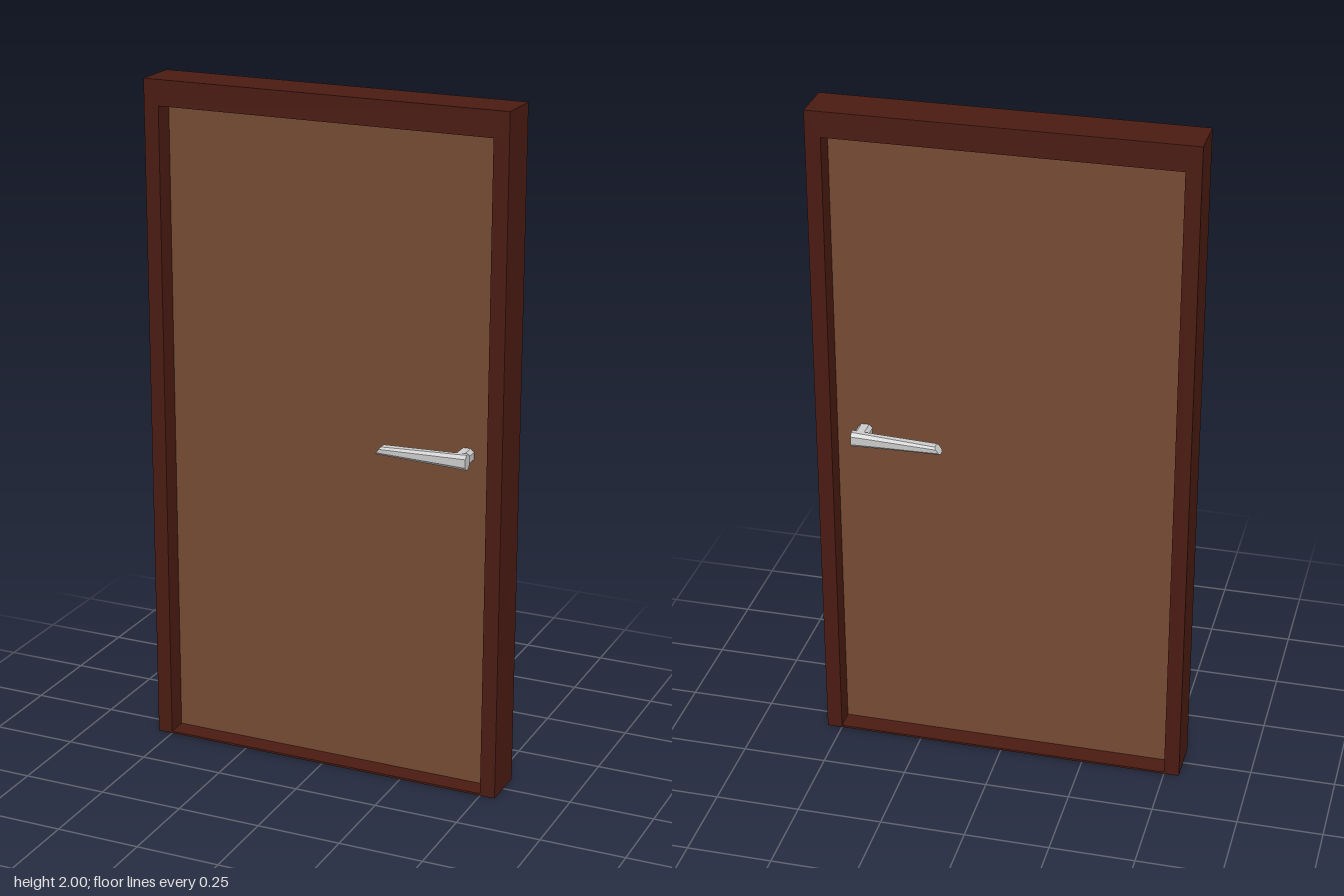
import * as THREE from 'three';

const frameMat = new THREE.MeshStandardMaterial({ color: 0x4a1b12 });
const panelMat = new THREE.MeshStandardMaterial({ color: 0x754b33 });
const metalMat = new THREE.MeshStandardMaterial({ color: 0xcccccc, flatShading: true });

// Bevelled rectangle as eight [u, v] points, running counter-clockwise
function bevelRect(u0, u1, v0, v1, b) {
  return [[u0 + b, v0], [u1 - b, v0], [u1, v0 + b], [u1, v1 - b],
    [u1 - b, v1], [u0 + b, v1], [u0, v1 - b], [u0, v0 + b]];
}

// Solid skin through equal-length rings, capped at both ends
function loft(rings, flip) {
  const n = rings[0].length, index = [];
  const tri = (a, b, c) => (flip ? index.push(a, c, b) : index.push(a, b, c));
  for (let r = 0; r < rings.length - 1; r++) {
    for (let i = 0; i < n; i++) {
      const a = r * n + i, b = r * n + (i + 1) % n;
      tri(a, b, b + n);
      tri(a, b + n, a + n);
    }
  }
  const last = (rings.length - 1) * n;
  for (let i = 1; i < n - 1; i++) {
    tri(0, i + 1, i);
    tri(last, last + i, last + i + 1);
  }
  const geo = new THREE.BufferGeometry();
  geo.setAttribute('position', new THREE.Float32BufferAttribute(rings.flat(2), 3));
  geo.setIndex(index);
  const flat = geo.toNonIndexed();
  flat.computeVertexNormals();
  return flat;
}

function part(name, geometry, material) {
  const mesh = new THREE.Mesh(geometry, material);
  mesh.name = name;
  return mesh;
}

// Lever handle on one face of the door: side = 1 front, -1 back
function createHandle(side) {
  const handle = new THREE.Group();
  handle.name = side > 0 ? 'frontHandle' : 'backHandle';

  // Lever: [x, y0, y1, z0, z1, bevel, lean of the section in x]
  const sections = [
    [0.172, 1.0, 1.023, 0.056, 0.09, 0.006, 0.016],
    [0.385, 0.988, 1.028, 0.048, 0.08, 0.009, 0],
    [0.44, 0.985, 1.03, 0.045, 0.079, 0.01, 0],
  ];
  const lever = sections.map(([x, y0, y1, z0, z1, b, lean]) =>
    bevelRect(y0, y1, z0, z1, b).map(([y, z]) =>
      [x + lean * (y - y0) / (y1 - y0), y, z * side]));
  handle.add(part('lever', loft(lever, side < 0), metalMat));

  // Stem from the panel out to the lever
  const stem = [0.005, 0.06].map((z) =>
    bevelRect(0.395, 0.438, 0.987, 1.028, 0.01).map(([x, y]) => [x, y, z * side]));
  handle.add(part('stem', loft(stem, side < 0), metalMat));
  return handle;
}

export function createModel() {
  const model = new THREE.Group();
  model.name = 'door';

  // Frame: deep surround with a thin sill
  const outline = new THREE.Shape([[-0.545, 0], [0.545, 0], [0.545, 2], [-0.545, 2]]
    .map(([x, y]) => new THREE.Vector2(x, y)));
  outline.holes.push(new THREE.Path([[-0.5, 0.006], [-0.5, 1.925], [0.5, 1.925], [0.5, 0.006]]
    .map(([x, y]) => new THREE.Vector2(x, y))));
  const frameGeo = new THREE.ExtrudeGeometry(outline, { depth: 0.138, bevelEnabled: false });
  frameGeo.translate(0, 0, -0.069);
  model.add(part('frame', frameGeo, frameMat));

  // Thin panel set in the middle of the frame
  const panel = part('panel', new THREE.BoxGeometry(1.0, 1.919, 0.014), panelMat);
  panel.position.y = 0.9655;
  model.add(panel);

  model.add(createHandle(1), createHandle(-1));
  return model;
}
